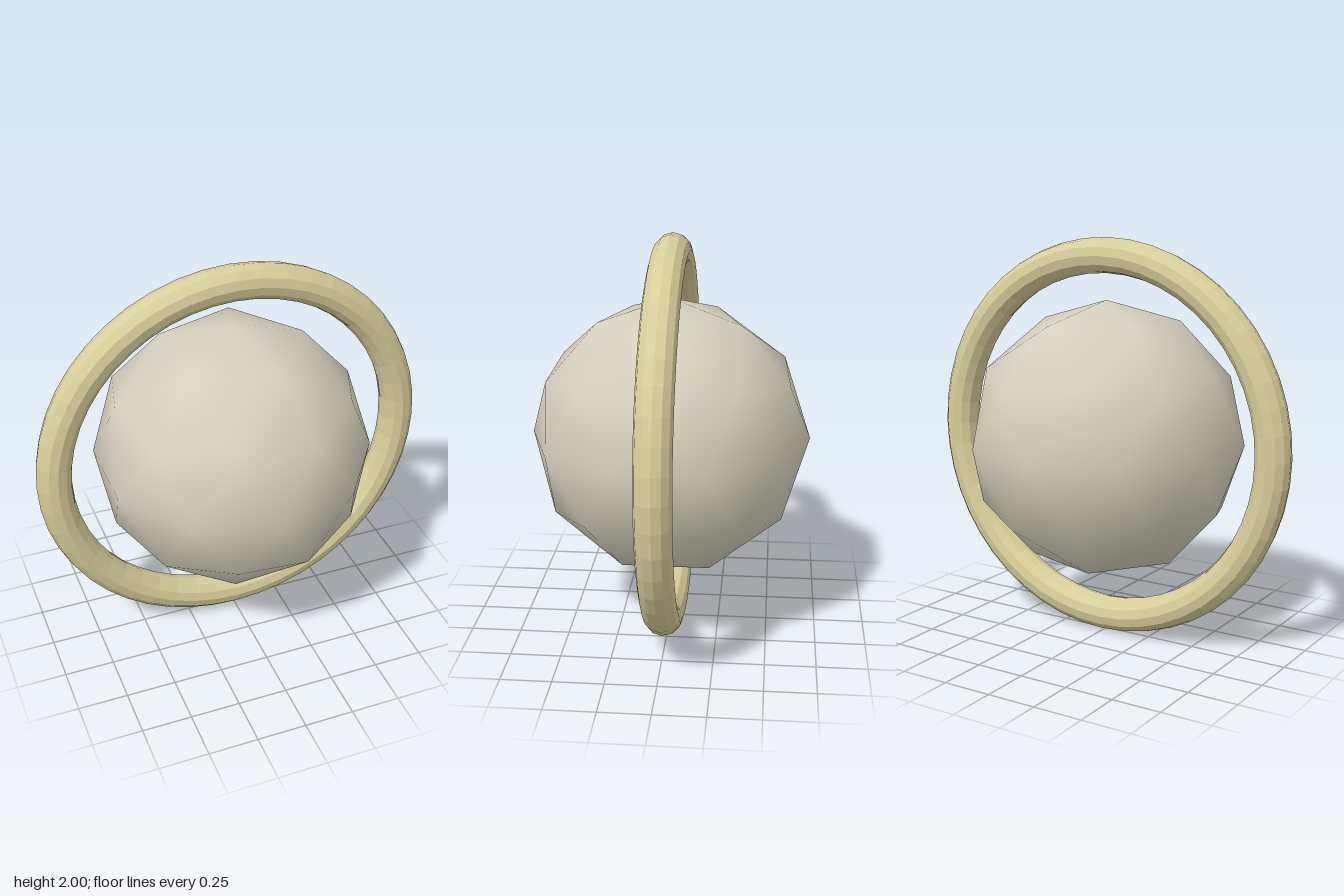
import * as THREE from 'three';

export function createModel() {
  const model = new THREE.Group();
  const stone = new THREE.MeshStandardMaterial({ color: 0xd6d0be });
  stone.name = 'warm grey';
  const gold = new THREE.MeshStandardMaterial({ color: 0xd8ce9b });
  gold.name = 'pale gold';

  // Smooth-shaded icosphere, turned so that one corner points straight up
  const coreGeometry = new THREE.IcosahedronGeometry(0.695, 1);
  coreGeometry.rotateZ(-Math.atan(2 / (1 + Math.sqrt(5))));
  const core = new THREE.Mesh(coreGeometry, stone);
  core.name = 'core';

  // Upright faceted ring around the core
  const ringGeometry = new THREE.TorusGeometry(0.913, 0.087, 12, 48).toNonIndexed();
  ringGeometry.computeVertexNormals();
  const ring = new THREE.Mesh(ringGeometry, gold);
  ring.name = 'ring';

  for (const part of [core, ring]) {
    part.position.y = 1;
    model.add(part);
  }
  return model;
}
